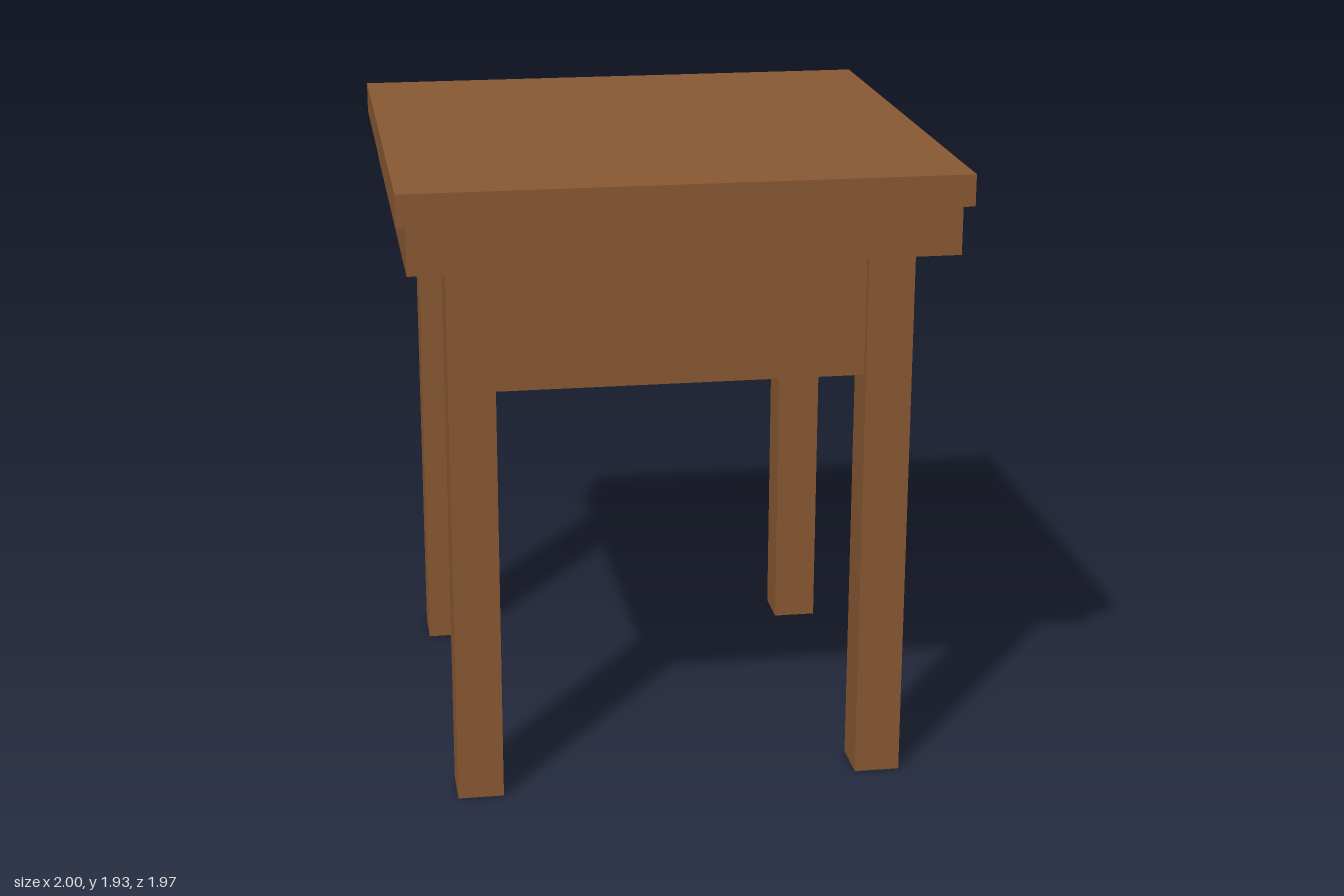
import * as THREE from 'three';

export function createModel() {
  const wood = new THREE.MeshStandardMaterial({ color: 0x8b5a34 });
  wood.name = 'brownWood';
  const hollowWood = wood.clone(); // same colour, for the open legs
  hollowWood.name = 'brownWoodOpen';
  hollowWood.side = THREE.DoubleSide;
  hollowWood.flatShading = true;
  const brass = new THREE.MeshStandardMaterial({ color: 0xac8d54 });
  brass.name = 'brass';

  const table = new THREE.Group();
  table.name = 'sideTable';

  const add = (name, geometry, material, x, y, z) => {
    const mesh = new THREE.Mesh(geometry, material);
    mesh.name = name;
    mesh.position.set(x, y, z);
    table.add(mesh);
    return mesh;
  };
  // Box given by width, depth and its bottom and top heights
  const slab = (name, w, d, y0, y1, z = 0) =>
    add(name, new THREE.BoxGeometry(w, y1 - y0, d), wood, 0, (y0 + y1) / 2, z);

  // Top board, rim beneath it, and the drawer case
  slab('tableTop', 1.67, 1.638, 1.837, 1.932);
  slab('topRim', 1.614, 1.586, 1.687, 1.837);
  slab('drawerCase', 1.192, 1.354, 1.297, 1.68);
  slab('drawerFront', 1.01, 0.06, 1.33, 1.66, -0.697);

  // Four square legs, open at the foot
  const legHeight = 1.687;
  const legGeometry = new THREE.CylinderGeometry(Math.SQRT1_2, Math.SQRT1_2, legHeight, 4, 1, true)
    .rotateY(Math.PI / 4)
    .scale(0.14, 1, 0.145);
  for (const [side, x] of [['Left', 0.623], ['Right', -0.623]]) {
    for (const [end, z] of [['front', 0.633], ['back', -0.633]]) {
      add(`${end}${side}Leg`, legGeometry, hollowWood, x, legHeight / 2, z);
    }
  }

  // Drawer knob on a short neck
  add('knobNeck', new THREE.CylinderGeometry(0.045, 0.055, 0.13, 10).rotateX(-Math.PI / 2),
    brass, 0, 1.49, -0.775);
  add('knob', new THREE.SphereGeometry(0.093, 10, 8).rotateX(-Math.PI / 2),
    brass, 0, 1.49, -0.89);

  // The table stands turned slightly about the vertical
  table.rotation.y = 0.2295;
  const model = new THREE.Group();
  model.name = 'model';
  model.add(table);
  return model;
}
